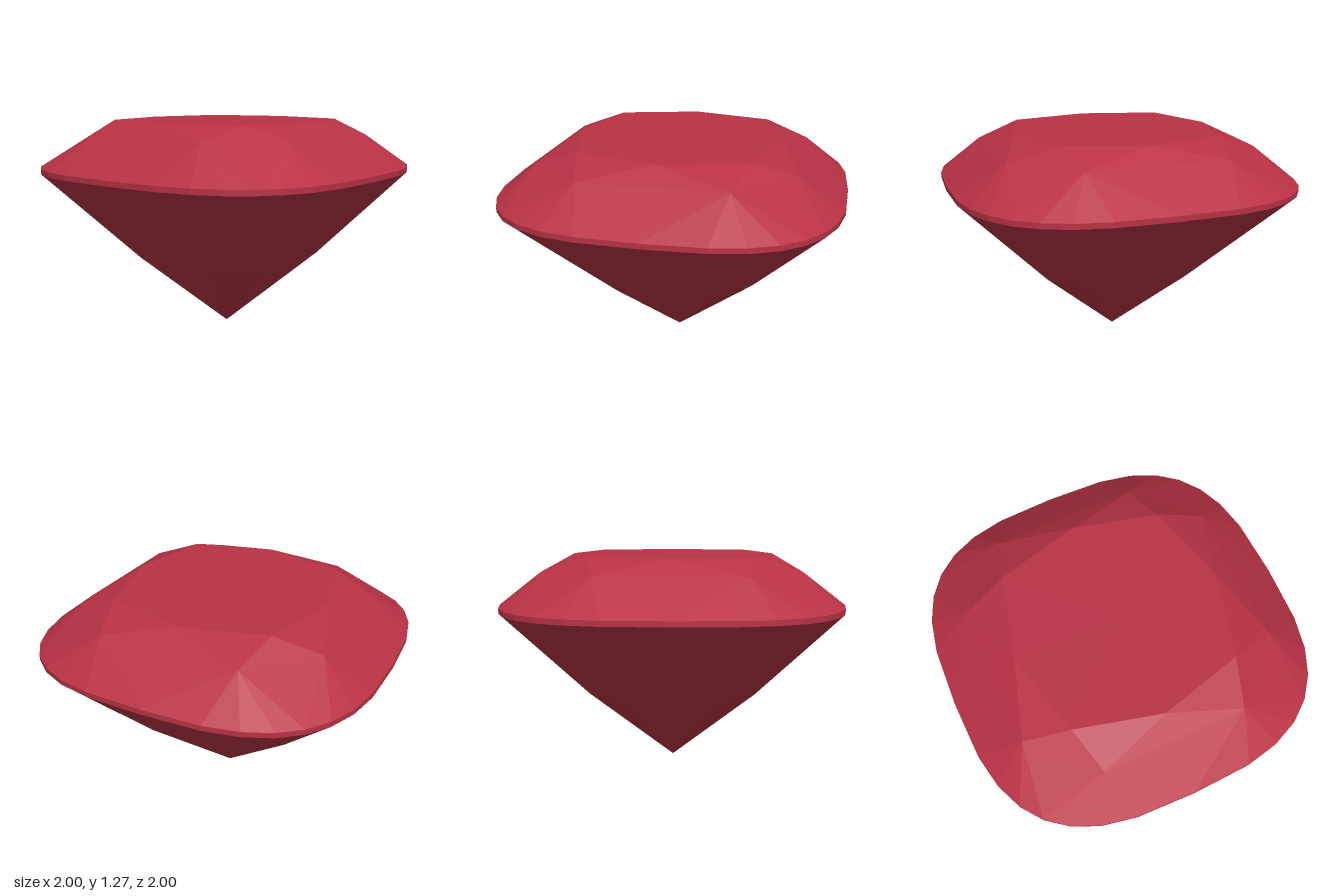
import * as THREE from 'three';

const ruby = new THREE.MeshStandardMaterial({ color: 0xb83244, flatShading: true });
ruby.name = 'ruby red';

const TWIST = THREE.MathUtils.degToRad(-3);
const CENTRE = new THREE.Vector3(0, 0.8, 0);

// Point on a cushion outline (cubic superellipse); i counts 32nds of a turn.
function cushion(i, scale, y) {
  const t = (i / 32) * Math.PI * 2;
  const soft = (v) => Math.sign(v) * Math.pow(Math.abs(v), 2 / 3);
  const x = soft(Math.cos(t)) * scale, z = soft(Math.sin(t)) * scale;
  return new THREE.Vector3(
    x * Math.cos(TWIST) - z * Math.sin(TWIST), y,
    x * Math.sin(TWIST) + z * Math.cos(TWIST));
}

// Flat facets from corner triples, each turned to face outward.
function facets(name, triangles) {
  const points = [];
  for (const [a, b, c] of triangles) {
    const normal = b.clone().sub(a).cross(c.clone().sub(a));
    const outward = normal.dot(a.clone().sub(CENTRE)) > 0;
    points.push(a, ...(outward ? [b, c] : [c, b]));
  }
  const geometry = new THREE.BufferGeometry().setFromPoints(points);
  geometry.computeVertexNormals();
  const mesh = new THREE.Mesh(geometry, ruby);
  mesh.name = name;
  return mesh;
}

export function createModel() {
  const tablePoint = (i) => cushion(i, 0.6, 1.275);
  const crownPoint = (i) => cushion(i, 0.77, 1.19);
  const girdleTop = (i) => cushion(i, 0.997, 1.0);
  const girdleBottom = (i) => cushion(i, 0.997, 0.97);
  const pavilionPoint = (i) => cushion(i, 0.515, 0.46);
  const culet = new THREE.Vector3(0, 0, 0);
  const tableCentre = new THREE.Vector3(0, 1.275, 0);

  const table = [], crown = [], girdle = [], pavilion = [];
  for (let i = 0; i < 32; i += 4) {
    table.push([tableCentre, tablePoint(i), tablePoint(i + 4)]);

    // Crown: star facet, then a kite split across its middle
    crown.push([tablePoint(i), tablePoint(i + 4), crownPoint(i + 2)]);
    crown.push([tablePoint(i), crownPoint(i - 2), crownPoint(i + 2)]);
    crown.push([girdleTop(i), crownPoint(i - 2), crownPoint(i + 2)]);

    // Pavilion: long kite running down to the point
    pavilion.push([culet, pavilionPoint(i - 2), pavilionPoint(i + 2)]);
    pavilion.push([girdleBottom(i), pavilionPoint(i - 2), pavilionPoint(i + 2)]);

    // Narrow facets fanning to the girdle, and the girdle band itself
    for (let j = i; j < i + 4; j++) {
      crown.push([crownPoint(i + 2), girdleTop(j), girdleTop(j + 1)]);
      pavilion.push([pavilionPoint(i + 2), girdleBottom(j), girdleBottom(j + 1)]);
      girdle.push([girdleTop(j), girdleTop(j + 1), girdleBottom(j)]);
      girdle.push([girdleTop(j + 1), girdleBottom(j + 1), girdleBottom(j)]);
    }
  }

  const gem = new THREE.Group();
  gem.name = 'cushionCutGem';
  gem.add(
    facets('table', table),
    facets('crown', crown),
    facets('girdle', girdle),
    facets('pavilion', pavilion));
  return gem;
}
